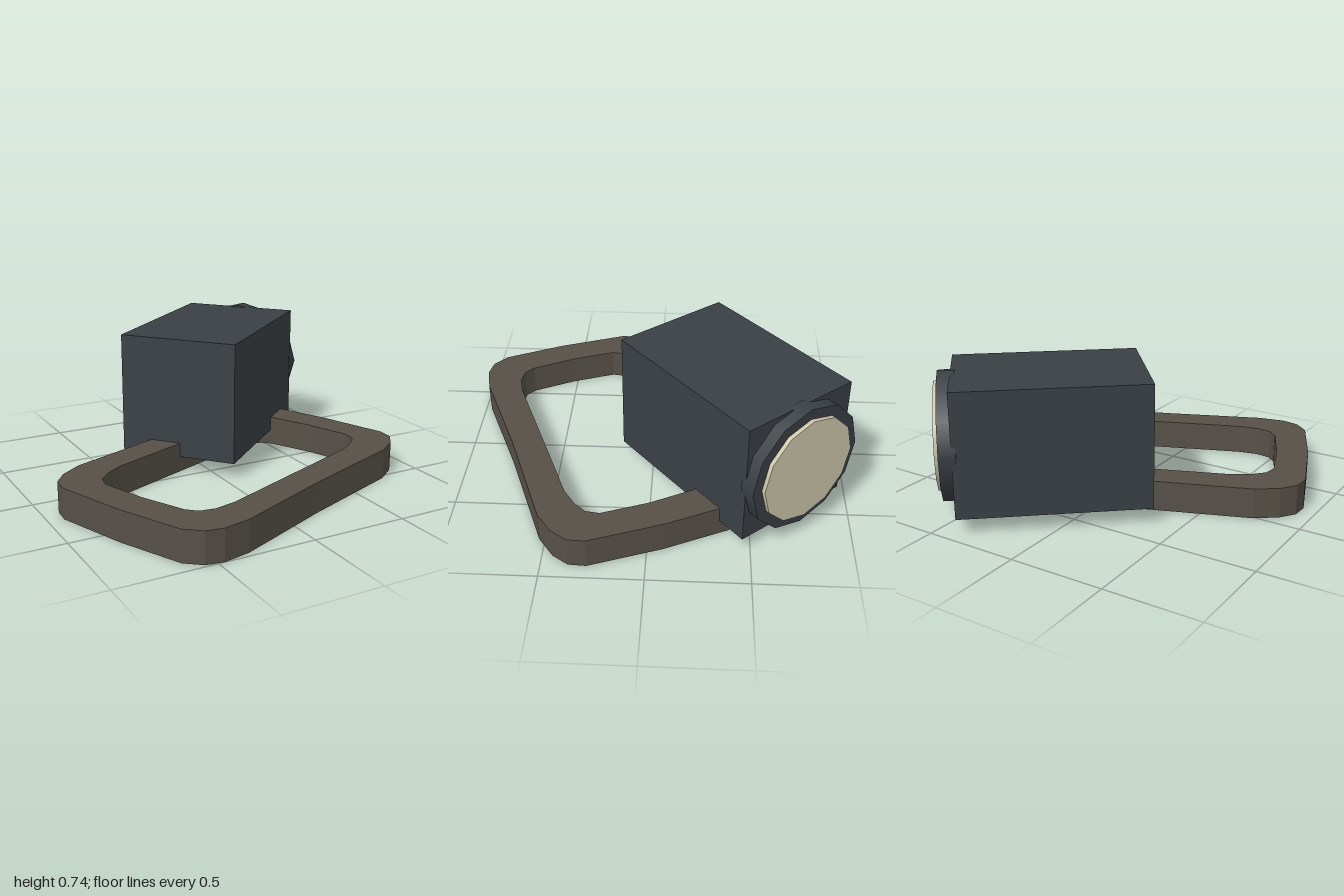
import * as THREE from 'three';

const material = (color) => new THREE.MeshStandardMaterial({ color });

function addPart(parent, name, geometry, mat) {
  const mesh = new THREE.Mesh(geometry, mat);
  mesh.name = name;
  parent.add(mesh);
  return mesh;
}

// A counter-clockwise loop with half-turn symmetry: the given half and its negated copy
function symmetricLoop(half) {
  const points = half.map(([x, y]) => new THREE.Vector2(x, y));
  return [...points, ...points.map((p) => p.clone().negate())].reverse();
}

// Twelve-sided disc along x, from x = start to x = end
function disc(radius, start, end) {
  return new THREE.CylinderGeometry(radius, radius, end - start, 12)
    .rotateZ(-Math.PI / 2)
    .translate((start + end) / 2, 0, 0);
}

export function createModel() {
  const model = new THREE.Group();
  model.name = 'headlamp';
  const strapMaterial = material(0x565047);
  const bodyMaterial = material(0x3a4045);
  const lensMaterial = material(0xd0c9ae);

  // Flat strap loop lying on the ground
  const outline = new THREE.Shape(symmetricLoop([
    [-0.75, -0.27], [-0.86, -0.19], [-0.917, -0.11], [-0.922, -0.02], [-0.79, 0.34],
    [-0.64, 0.66], [-0.56, 0.725], [-0.47, 0.74], [-0.33, 0.71], [0.18, 0.49],
  ]));
  outline.holes.push(new THREE.Path(symmetricLoop([
    [-0.57, -0.16], [-0.66, -0.10], [-0.715, -0.04], [-0.725, 0.03], [-0.64, 0.26],
    [-0.53, 0.48], [-0.48, 0.525], [-0.40, 0.535], [-0.29, 0.51], [0.15, 0.33],
  ])));
  const strapGeometry = new THREE.ExtrudeGeometry(outline, { depth: 0.16, bevelEnabled: false });
  strapGeometry.rotateX(Math.PI / 2);
  const strap = addPart(model, 'strap', strapGeometry, strapMaterial);
  strap.position.set(0, 0.16, 0.26);

  // Lamp head, turned so that its lens end points back and to +x
  const lamp = new THREE.Group();
  lamp.name = 'lamp';
  lamp.position.set(0.215, 0.405, -0.393);
  lamp.rotation.y = THREE.MathUtils.degToRad(40);
  model.add(lamp);

  addPart(lamp, 'housing', new THREE.BoxGeometry(0.968, 0.645, 0.645), bodyMaterial);
  addPart(lamp, 'bezel', disc(0.335, 0.462, 0.546), bodyMaterial);
  addPart(lamp, 'lens', disc(0.28, 0.5, 0.567), lensMaterial);

  return model;
}
